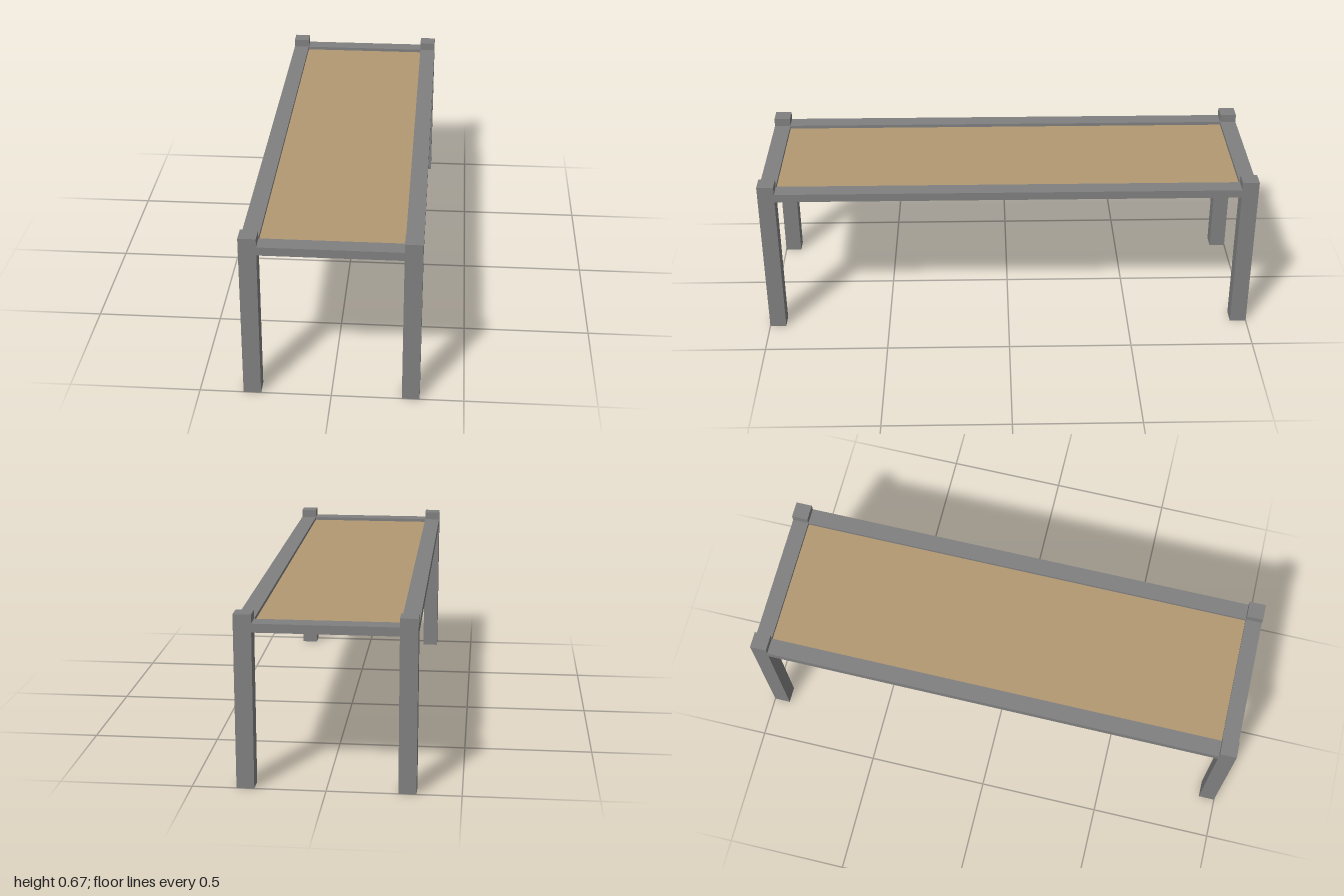
import * as THREE from 'three';

const UNIT = 1 / 15;          // leg thickness
const HALF_W = 1 / 3, HALF_L = 1, HEIGHT = 2 / 3;

const metal = new THREE.MeshStandardMaterial({ color: 0x808080, side: THREE.DoubleSide });
metal.name = 'grey metal';
const wood = new THREE.MeshStandardMaterial({ color: 0xb39973 });
wood.name = 'tan wood';

function addBox(parent, name, material, size, position) {
  const mesh = new THREE.Mesh(new THREE.BoxGeometry(...size), material);
  mesh.name = name;
  mesh.position.set(...position);
  parent.add(mesh);
  return mesh;
}

// Drops the bottom face of a box so the tube is open underneath
function openBottom(geometry) {
  const index = Array.from(geometry.index.array);
  index.splice(18, 6);
  geometry.setIndex(index);
  geometry.clearGroups();
}

export function createModel() {
  const table = new THREE.Group();
  table.name = 'table';

  const legX = HALF_W - UNIT / 2, legZ = HALF_L - UNIT / 2;
  const railY = 0.6 + UNIT / 4;
  const innerW = 2 * (HALF_W - UNIT), innerL = 2 * (HALF_L - UNIT);

  // Four hollow square legs rising above the frame
  for (const sx of [-1, 1]) {
    for (const sz of [-1, 1]) {
      const name = (sz > 0 ? 'front' : 'back') + (sx > 0 ? 'Left' : 'Right') + 'Leg';
      const leg = addBox(table, name, metal, [UNIT, HEIGHT, UNIT], [sx * legX, HEIGHT / 2, sz * legZ]);
      openBottom(leg.geometry);
    }
  }

  // Frame rails between the legs
  for (const s of [-1, 1]) {
    addBox(table, s > 0 ? 'leftRail' : 'rightRail', metal,
      [UNIT, UNIT / 2, innerL], [s * legX, railY, 0]);
    addBox(table, s > 0 ? 'frontRail' : 'backRail', metal,
      [innerW, UNIT / 2, UNIT], [0, railY, s * legZ]);
  }

  // Thin top panel recessed inside the frame
  addBox(table, 'topPanel', wood, [innerW, 0.013, innerL], [0, 0.6135, 0]);

  return table;
}
